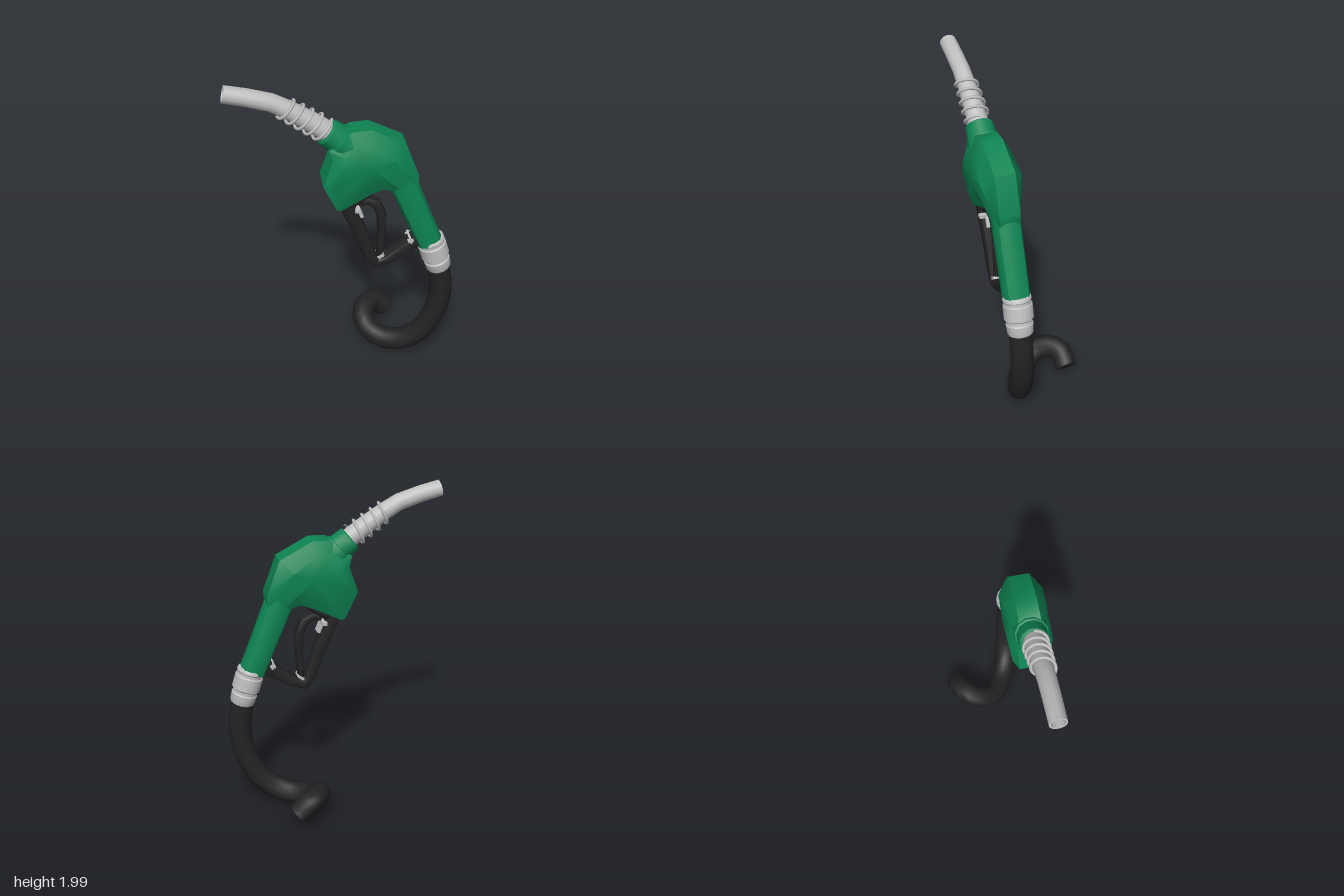
import * as THREE from 'three';
import { toCreasedNormals } from 'three/addons/utils/BufferGeometryUtils.js';

const V = (x, y, z = 0) => new THREE.Vector3(x, y, z);
const mat = (name, color) => {
  const m = new THREE.MeshStandardMaterial({ color });
  m.name = name;
  return m;
};

// Joins equal-sized rings into a closed solid; apexes may replace the end centres.
function loft(rings, apexes = []) {
  const n = rings[0].length, tris = [];
  for (let r = 0; r + 1 < rings.length; r++) {
    for (let i = 0; i < n; i++) {
      const j = (i + 1) % n, a = rings[r], b = rings[r + 1];
      tris.push([a[i], a[j], b[j]], [a[i], b[j], b[i]]);
    }
  }
  [rings[0], rings[rings.length - 1]].forEach((ring, k) => {
    const c = apexes[k] || ring.reduce((s, p) => s.add(p), V(0, 0)).divideScalar(n);
    for (let i = 0; i < n; i++) {
      const j = (i + 1) % n;
      tris.push(k ? [ring[i], ring[j], c] : [ring[j], ring[i], c]);
    }
  });
  // outward winding from the signed volume
  const volume = tris.reduce((s, [a, b, c]) => s + a.dot(b.clone().cross(c)), 0);
  const pts = tris.flatMap(([a, b, c]) => (volume < 0 ? [a, c, b] : [a, b, c]));
  const geo = new THREE.BufferGeometry().setFromPoints(pts);
  geo.computeVertexNormals();
  return toCreasedNormals(geo, 0.6);
}

// Rings along a path in the xy plane; each point is [x, y, half width, half depth].
function sweepRings(path, sides = 16, square = 1) {
  const pow = (v) => Math.sign(v) * Math.pow(Math.abs(v), square);
  return path.map(([x, y, w, d = w], k) => {
    const a = path[Math.max(0, k - 1)], b = path[Math.min(path.length - 1, k + 1)];
    const t = V(b[0] - a[0], b[1] - a[1]).normalize();
    return Array.from({ length: sides }, (_, i) => {
      const u = ((i + 0.5) / sides) * Math.PI * 2;
      const s = pow(Math.cos(u)) * w;
      return V(x - t.y * s, y + t.x * s, pow(Math.sin(u)) * d);
    });
  });
}

// Round part on a straight axis; stations are [fraction, radius].
const turned = (a, b, stations, sides = 16) => loft(sweepRings(
  stations.map(([t, r]) => [a[0] + (b[0] - a[0]) * t, a[1] + (b[1] - a[1]) * t, r]), sides));

export function createModel() {
  const green = mat('green plastic', 0x0e8553);
  const black = mat('black rubber', 0x232323);
  const grey = mat('light metal', 0xbebebe);
  const model = new THREE.Group();
  model.name = 'fuelNozzle';
  const gun = new THREE.Group();
  gun.name = 'gun';
  gun.position.z = 0.168;
  model.add(gun);
  const add = (parent, name, geo, material) => {
    const m = new THREE.Mesh(geo, material);
    m.name = name;
    parent.add(m);
    return m;
  };

  // Faceted body: rim [x, y, half depth] and raised shoulder on both sides
  const rim = [
    [0.03, 1.70, 0.06], [0.135, 1.706, 0.06], [0.33, 1.606, 0.06], [0.41, 1.395, 0.06],
    [0.41, 1.34, 0.06], [0.37, 1.25, 0.06], [0.25, 1.31, 0.06], [0.21, 1.32, 0.06],
    [0.124, 1.288, 0.065], [-0.035, 1.204, 0.07], [-0.06, 1.215, 0.07], [-0.135, 1.38, 0.08],
    [-0.08, 1.54, 0.08], [-0.10, 1.60, 0.07],
  ];
  const shoulder = [
    [0.05, 1.62, 0.095], [0.13, 1.62, 0.11], [0.26, 1.54, 0.125], [0.32, 1.42, 0.09],
    [0.33, 1.36, 0.08], [0.31, 1.31, 0.075], [0.24, 1.37, 0.085], [0.19, 1.40, 0.10],
    [0.10, 1.36, 0.10], [-0.02, 1.26, 0.085], [-0.04, 1.28, 0.09], [-0.09, 1.40, 0.11],
    [-0.03, 1.52, 0.122], [-0.02, 1.57, 0.11],
  ];
  const side = (pts, s) => pts.map(([x, y, z]) => V(x, y, z * s));
  add(gun, 'body', loft(
    [side(shoulder, -1), side(rim, -1), side(rim, 1), side(shoulder, 1)],
    [V(0.12, 1.5, -0.13), V(0.12, 1.5, 0.13)]), green);

  // Handle
  add(gun, 'handle', loft(sweepRings([
    [0.29, 1.43, 0.08], [0.33, 1.33, 0.084, 0.08], [0.42, 1.11, 0.079], [0.505, 0.905, 0.077],
  ], 12, 0.75)), green);

  // Spout collar
  add(gun, 'collar', turned([-0.108, 1.688], [0.04, 1.575],
    [[0, 0.07], [0.04, 0.08], [0.45, 0.085], [0.47, 0.094], [0.7, 0.096], [1, 0.1]], 12), green);

  // Hollow spout: outer wall, then the bore running back inside
  const outer = sweepRings([
    [-0.08, 1.675, 0.06], [-0.2, 1.762, 0.057], [-0.31, 1.835, 0.053], [-0.4, 1.885, 0.051],
    [-0.53, 1.924, 0.05], [-0.652, 1.952, 0.049],
  ]);
  const bore = outer.slice(3).reverse().map((ring) => {
    const c = ring.reduce((s, p) => s.add(p), V(0, 0)).divideScalar(ring.length);
    return ring.map((p) => p.clone().lerp(c, 0.2));
  });
  add(gun, 'spout', loft([...outer, ...bore]), grey);

  // Wire spring round the spout
  const from = V(-0.115, 1.70), to = V(-0.335, 1.85);
  const across = V(to.y - from.y, from.x - to.x).normalize();
  const coil = Array.from({ length: 61 }, (_, i) => {
    const t = i / 60, u = t * Math.PI * 2 * 4.5, r = 0.072 - 0.01 * t;
    return from.clone().lerp(to, t).addScaledVector(across, Math.cos(u) * r)
      .add(V(0, 0, Math.sin(u) * r));
  });
  add(gun, 'spring', new THREE.TubeGeometry(new THREE.CatmullRomCurve3(coil), 120, 0.009, 6), grey);

  // Stepped swivel coupling under the handle
  add(gun, 'coupling', turned([0.508, 0.925], [0.576, 0.7], [
    [0, 0.074], [0.03, 0.081], [0.1, 0.084], [0.13, 0.079], [0.2, 0.079], [0.23, 0.086],
    [0.58, 0.086], [0.62, 0.074], [0.7, 0.074], [0.73, 0.08], [0.95, 0.076], [1, 0.07],
  ]), grey);

  // Trigger guard and its mount under the body
  add(gun, 'guard', loft(sweepRings([
    [-0.005, 1.235, 0.045, 0.06], [0.09, 1.01, 0.04, 0.05], [0.15, 0.83, 0.036, 0.045],
    [0.19, 0.785, 0.034, 0.045], [0.26, 0.81, 0.032, 0.045], [0.34, 0.865, 0.04, 0.045],
    [0.425, 0.93, 0.044, 0.045],
  ], 12, 0.6)), black);
  add(gun, 'guardMount', loft(sweepRings([
    [-0.02, 1.215, 0.02, 0.06], [0.06, 1.245, 0.035, 0.055], [0.16, 1.3, 0.02, 0.045],
  ], 12, 0.6)), black);

  // Trigger lever
  add(gun, 'trigger', loft(sweepRings([
    [0.075, 1.21, 0.022, 0.025], [0.13, 1.222, 0.028, 0.03], [0.18, 1.195, 0.03, 0.035],
    [0.212, 1.12, 0.028, 0.035], [0.215, 1.0, 0.024, 0.035], [0.205, 0.82, 0.018, 0.03],
  ], 12, 0.7)), black);

  // Small metal pins and clips: [x, y, width, height, depth, turn]
  [
    [0.08, 1.15, 0.025, 0.07, 0.06, 0.4], [0.065, 1.185, 0.03, 0.02, 0.13, 0],
    [0.21, 0.835, 0.04, 0.015, 0.08, 0.6], [0.385, 0.935, 0.035, 0.014, 0.1, 0.3],
    [0.385, 0.935, 0.014, 0.035, 0.1, 0.3],
  ].forEach(([x, y, w, h, d, turn], i) => {
    const pin = add(gun, 'pin' + (i + 1), new THREE.BoxGeometry(w, h, d), grey);
    pin.position.set(x, y, 0);
    pin.rotation.z = turn;
  });

  // Curled hose with a closed end
  const hose = new THREE.CatmullRomCurve3([
    V(0.57, 0.72, 0.167), V(0.595, 0.52, 0.165), V(0.565, 0.34, 0.155), V(0.49, 0.19, 0.14),
    V(0.39, 0.105, 0.11), V(0.28, 0.075, 0.06), V(0.19, 0.1, -0.01), V(0.16, 0.145, -0.09),
    V(0.19, 0.175, -0.17), V(0.25, 0.165, -0.225), V(0.325, 0.105, -0.232),
  ]);
  add(model, 'hose', new THREE.TubeGeometry(hose, 28, 0.07, 10), black);
  const end = add(model, 'hoseEnd', new THREE.SphereGeometry(0.07, 10, 6, 0, Math.PI * 2, 0, Math.PI / 2), black);
  end.scale.y = 0.2;
  end.position.copy(hose.getPoint(1));
  end.quaternion.setFromUnitVectors(V(0, 1), hose.getTangent(1));
  return model;
}
